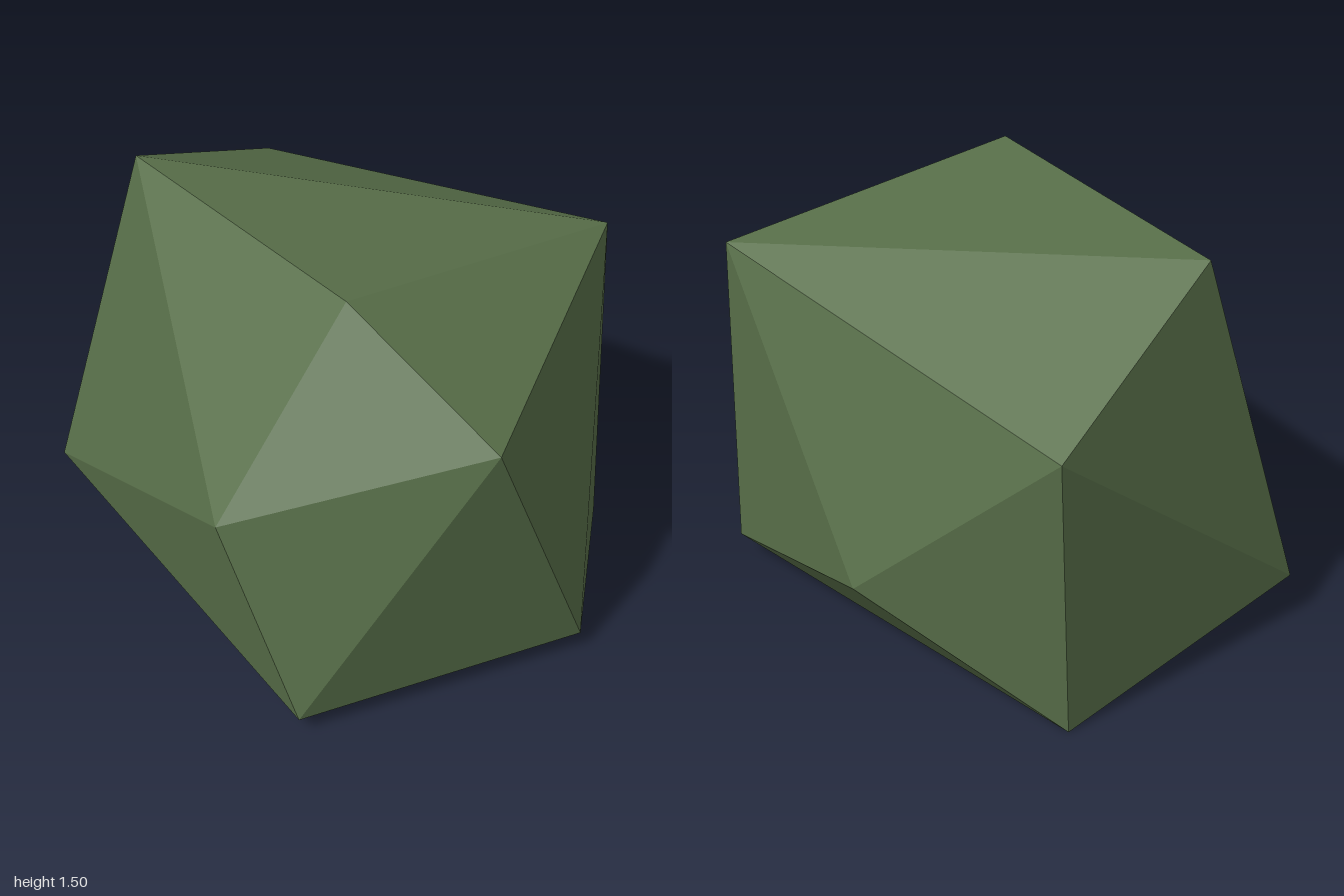
import * as THREE from 'three';
import { ConvexGeometry } from 'three/addons/geometries/ConvexGeometry.js';

export function createModel() {
  const group = new THREE.Group();
  group.name = 'boulder';

  const mossGreen = new THREE.MeshStandardMaterial({ color: 0x586f49 });
  mossGreen.name = 'mossGreen';

  // Twelve corners of the faceted stone
  const corners = [
    // crown
    [-0.32, 1.5, 0.44], [0.81, 1.36, 0.48], [-0.33, 1.48, -0.74],
    // upper and middle girdle
    [-0.14, 1.13, 1.0], [0.44, 1.1, -1.0], [-0.84, 0.81, 0.41], [0.84, 0.42, -0.37],
    // foot
    [-0.66, 0.19, -0.89], [-0.73, 0.07, 0.7], [0.31, 0.08, 1.0],
    [0.8, 0.1, 0.56], [0.37, 0, -0.97],
  ].map((p) => new THREE.Vector3(...p));

  // The hull gives flat triangular facets
  const stone = new THREE.Mesh(new ConvexGeometry(corners), mossGreen);
  stone.name = 'stone';
  group.add(stone);
  return group;
}
